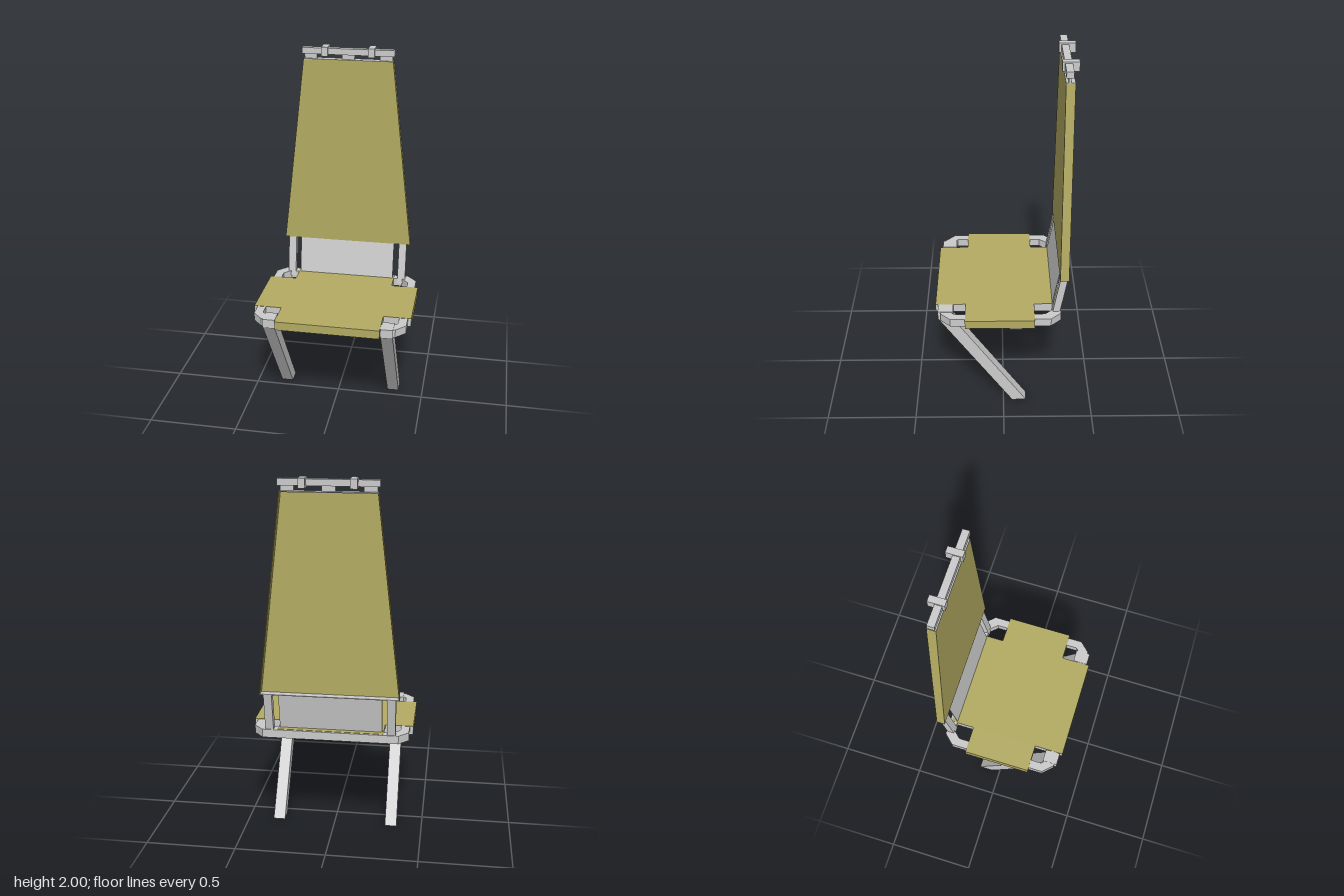
import * as THREE from 'three';

const grey = new THREE.MeshStandardMaterial({ color: 0xcccccc, side: THREE.DoubleSide });
const olive = new THREE.MeshStandardMaterial({ color: 0xb3ab62, side: THREE.DoubleSide });

const toShape = (pts) => new THREE.Shape(pts.map(([x, y]) => new THREE.Vector2(x, y)));

function extrude(shape, depth) {
  return new THREE.ExtrudeGeometry(shape, { depth, bevelEnabled: false });
}

// outline in (x, z), extruded down from height top
function planPrism(shape, top, height) {
  return extrude(shape, height).rotateX(Math.PI / 2).translate(0, top, 0);
}

// outline in (z, y), extruded across x and centred on x
function sidePrism(pts, x, width) {
  return extrude(toShape(pts), width).translate(0, 0, -width / 2).rotateY(-Math.PI / 2).translate(x, 0, 0);
}

// box given by its limits
function box(x0, x1, y0, y1, z0, z1) {
  return new THREE.BoxGeometry(x1 - x0, y1 - y0, z1 - z0)
    .translate((x0 + x1) / 2, (y0 + y1) / 2, (z0 + z1) / 2);
}

export function createModel() {
  const model = new THREE.Group();
  model.name = 'chair';
  const add = (name, geometry, material = grey) => {
    const mesh = new THREE.Mesh(geometry, material);
    mesh.name = name;
    model.add(mesh);
  };

  // seat: cross-shaped core, with olive top and outer edges
  const half = [[0.288, -0.305], [0.288, -0.17], [0.44, -0.17], [0.44, 0.21], [0.288, 0.21], [0.288, 0.373]];
  const mirrored = half.map(([x, z]) => [-x, z]).reverse();
  const cross = toShape([...half, ...mirrored]);
  add('seatCore', planPrism(cross, 0.637, 0.047));
  add('seatTop', planPrism(cross, 0.64, 0.003), olive);
  add('seatFrontEdge', box(-0.288, 0.288, 0.59, 0.64, 0.37, 0.375), olive);

  // chamfered frame ring under the seat
  const ring = (x, cx, zf, cf, zb, cb) => [
    [x, cb], [x, cf], [cx, zf], [-cx, zf], [-x, cf], [-x, cb], [-cx, zb], [cx, zb]];
  const frame = toShape(ring(0.423, 0.37, 0.345, 0.29, -0.315, -0.258));
  frame.holes.push(new THREE.Path(
    ring(0.376, 0.337, 0.305, 0.272, -0.27, -0.228).map(([x, z]) => new THREE.Vector2(x, z))));
  add('seatFrame', planPrism(frame, 0.638, 0.046));

  for (const s of [1, -1]) {
    const side = s > 0 ? 'left' : 'right';
    add(side + 'SeatEdge', box(s * 0.44 - 0.002, s * 0.44 + 0.002, 0.59, 0.64, -0.17, 0.21), olive);

    // raked leg and its clamp
    add(side + 'Leg', sidePrism([[-0.13, 0], [-0.05, 0], [0.36, 0.595], [0.32, 0.638], [0.275, 0.59]], s * 0.325, 0.066));
    add(side + 'LegClamp', box(s * 0.325 - 0.034, s * 0.325 + 0.034, 0.59, 0.641, 0.277, 0.36));

    // slanted support between frame and backrest
    add(side + 'BackSupport', sidePrism([[-0.305, 0.61], [-0.265, 0.61], [-0.307, 0.852], [-0.346, 0.852]], s * 0.332, 0.045));

    // backrest side flange
    const flange = toShape([[s * 0.375, 0.85], [s * 0.25, 1.93], [s * 0.246, 1.93], [s * 0.371, 0.85]]);
    add(side + 'BackrestFlange', extrude(flange, 0.047).translate(0, 0, -0.35), olive);

    // clip on the top rail
    add(side + 'RailClip', box(s * 0.13 - 0.018, s * 0.13 + 0.018, 1.95, 2, -0.377, -0.29));
  }

  // thin lower back panel
  add('lowerBackPanel', sidePrism([[-0.274, 0.638], [-0.27, 0.638], [-0.308, 0.852], [-0.312, 0.852]], 0, 0.56));

  // backrest: tapered tray, open at the back
  const back = toShape([[-0.375, 0.85], [0.375, 0.85], [0.25, 1.93], [-0.25, 1.93]]);
  add('backrestPanel', extrude(back, 0.004).translate(0, 0, -0.307), olive);
  add('backrestBottom', box(-0.372, 0.372, 0.85, 0.854, -0.348, -0.304));
  add('backrestTop', box(-0.248, 0.248, 1.926, 1.931, -0.35, -0.303));

  // top rail on three small tabs
  for (const x of [-0.21, 0, 0.21]) {
    add('railTab', box(x - 0.035, x + 0.035, 1.928, 1.962, -0.328, -0.316));
  }
  add('topRail', box(-0.258, 0.258, 1.958, 1.992, -0.341, -0.303));

  return model;
}
